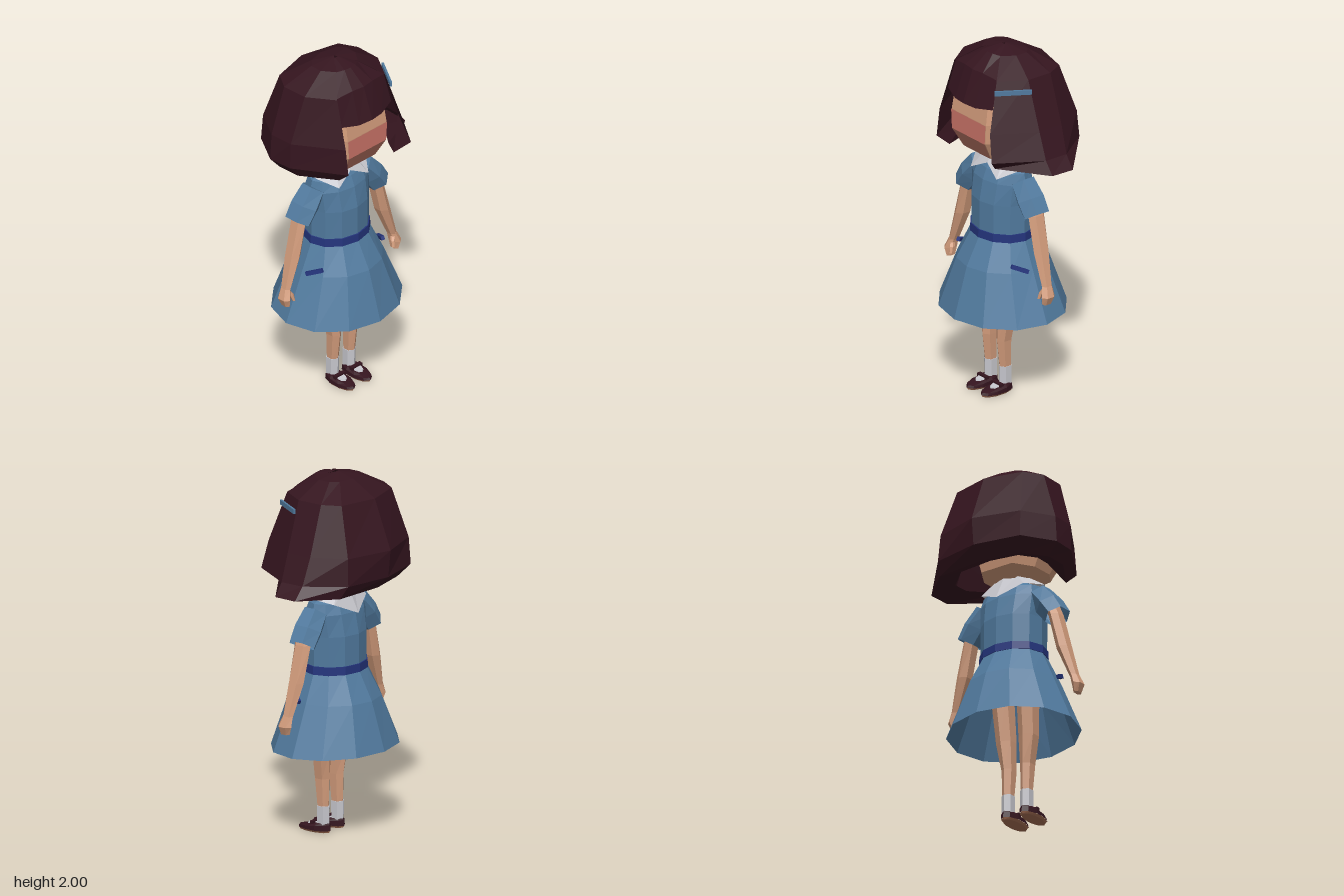
import * as THREE from 'three';

const SKIN = 0xd09a7a, HAIR = 0x35151f, DRESS = 0x517a9e, NAVY = 0x24347c, WHITE = 0xc6c6cc, SOLE = 0xa87055;

const material = (color, open) => new THREE.MeshStandardMaterial({
  color, flatShading: true, side: open ? THREE.DoubleSide : THREE.FrontSide,
});

// Horizontal oval ring, starting at the front and running towards +x; tx and tz tilt it.
function oval(cx, y, cz, rx, rz, n = 6, tx = 0, tz = 0) {
  return Array.from({ length: n }, (_, i) => {
    const a = (i / n) * Math.PI * 2;
    const dx = Math.sin(a) * rx, dz = Math.cos(a) * rz;
    return [cx + dx, y + tx * dx + tz * dz, cz + dz];
  });
}

// Faceted skin over rings listed from bottom to top.
function loft(name, color, rings, { closed = true, bottom = false, top = false, open = false } = {}) {
  const pos = [];
  const n = rings[0].length, cols = closed ? n : n - 1;
  for (let i = 0; i < rings.length - 1; i++) {
    for (let j = 0; j < cols; j++) {
      const k = (j + 1) % n;
      const a = rings[i][j], b = rings[i][k], c = rings[i + 1][k], d = rings[i + 1][j];
      pos.push(...a, ...b, ...c, ...a, ...c, ...d);
    }
  }
  const cap = (ring, flip) => {
    const mid = [0, 1, 2].map((q) => ring.reduce((s, p) => s + p[q], 0) / n);
    for (let j = 0; j < cols; j++) {
      const p = ring[j], q = ring[(j + 1) % n];
      pos.push(...(flip ? q : p), ...(flip ? p : q), ...mid);
    }
  };
  if (bottom) cap(rings[0], true);
  if (top) cap(rings[rings.length - 1], false);
  const g = new THREE.BufferGeometry();
  g.setAttribute('position', new THREE.Float32BufferAttribute(pos, 3));
  g.computeVertexNormals();
  const mesh = new THREE.Mesh(g, material(color, open));
  mesh.name = name;
  return mesh;
}

function box(name, color, size, at) {
  const m = new THREE.Mesh(new THREE.BoxGeometry(...size), material(color));
  m.name = name;
  m.position.set(...at);
  return m;
}

function makeHead() {
  const head = new THREE.Group();
  head.name = 'head';
  // broad flat face, narrower at the back
  const outline = [[-.68, 1], [.68, 1], [1, .5], [1, -.3], [.6, -1], [-.6, -1], [-1, -.3], [-1, .5]];
  const ring = (y, rx, cz, rz) => outline.map(([x, z]) => [x * rx, y, cz + z * rz]);
  const rows = [
    ring(1.355, .09, .03, .08), ring(1.41, .17, .03, .16), ring(1.52, .205, .05, .2),
    ring(1.63, .215, .05, .2), ring(1.76, .205, .04, .19), ring(1.9, .12, .01, .13),
  ];
  head.add(loft('skull', SKIN, rows, { bottom: true, top: true }));
  // blushed front of the face
  const front = (r) => r.slice(0, 2).map(([x, y, z]) => [x, y, z + .004]);
  head.add(loft('lowerFace', 0xbd7867, [front(rows[1]), front(rows[2])], { closed: false }));
  head.add(loft('cheeks', 0xcc7469, [front(rows[2]), front(rows[3])], { closed: false }));
  head.add(loft('neck', SKIN, [oval(0, 1.27, .01, .065, .06, 8), oval(0, 1.42, .01, .065, .06, 8)]));
  return head;
}

function makeHair() {
  const hair = new THREE.Group();
  hair.name = 'hair';
  // bob, as [x, z] columns from one front edge around the back to the other
  const rows = [
    [1.975, [-.08, .1, -.13, .03, -.13, -.04, -.09, -.08, 0, -.1, .09, -.08, .13, -.04, .13, .03, .08, .1]],
    [1.89, [-.18, .205, -.28, .06, -.285, -.09, -.22, -.19, 0, -.245, .22, -.19, .27, -.09, .27, .06, .18, .205]],
    [1.62, [-.2, .29, -.365, .04, -.37, -.1, -.265, -.27, 0, -.35, .27, -.27, .365, -.09, .365, .06, .23, .29]],
    [1.47, [-.2, .31, -.37, .04, -.38, -.1, -.27, -.28, 0, -.335, .28, -.28, .42, -.08, .42, .06, .27, .31]],
    [1.4, [-.19, .23, -.315, .04, -.32, -.09, -.23, -.22, 0, -.265, .3, -.24, .48, -.075, .475, .06, .21, .24]],
  ].map(([y, p]) => Array.from({ length: 9 }, (_, i) => [p[2 * i], y, p[2 * i + 1]]));
  const crown = rows[0].map(() => [0, 2, 0]);
  const tuck = rows[4].map(([x, , z], i) => (i % 8 ? [x * .7, 1.43, z * .7] : [x, 1.44, z - .04]));
  hair.add(loft('bob', HAIR, [crown, ...rows, tuck], { closed: false, open: true }));

  // fringe fanning forward from the crown
  const fringeRow = (pts) => [...pts.map(([x, y, z]) => [-x, y, z]).reverse(), ...pts.slice(1)];
  hair.add(loft('fringe', HAIR, [
    fringeRow([[0, 1.725, .29], [.085, 1.72, .275], [.19, 1.735, .24]]),
    fringeRow([[0, 1.905, .225], [.075, 1.905, .215], [.18, 1.89, .195]]),
    fringeRow([[0, 1.98, .125], [.04, 1.98, .12], [.08, 1.972, .095]]),
    fringeRow([[0, 2, .02], [.01, 2, .02], [.02, 1.998, .02]]),
  ], { closed: false, open: true }));

  const clip = box('hairClip', DRESS, [.012, .026, .2], [.25, 1.833, .148]);
  clip.rotation.y = Math.atan2(-.105, .17);
  hair.add(clip);
  return hair;
}

function makeDress() {
  const dress = new THREE.Group();
  dress.name = 'dress';
  const ring = (y, rx, rz, tz = 0) => oval(0, y, .02, rx, rz, 12, 0, tz);
  dress.add(loft('skirt', DRESS, [ring(.485, .38, .33, -.03), ring(.76, .26, .245), ring(.92, .188, .158)], { open: true }));
  dress.add(loft('bodice', DRESS, [
    ring(.92, .188, .158), ring(1.12, .19, .158), ring(1.24, .2, .135), ring(1.3, .185, .11), ring(1.345, .1, .075),
  ], { top: true }));
  dress.add(loft('belt', NAVY, [ring(.91, .197, .167), ring(.955, .194, .165)], { bottom: true, top: true }));

  // pointed collar
  const half = [[0, 1.33, .125], [.11, 1.275, .15], [.185, 1.325, .05], [.14, 1.3, -.08], [0, 1.235, -.135]];
  const outer = [...half, ...half.slice(1, 4).reverse().map(([x, y, z]) => [-x, y, z])];
  dress.add(loft('collar', WHITE, [outer, oval(0, 1.378, .01, .1, .075, 8)], { open: true }));

  for (const s of [-1, 1]) {
    dress.add(loft('sleeve', DRESS, [
      oval(s * .293, 1.095, .02, .06, .082, 6, s * .6),
      oval(s * .24, 1.17, .02, .066, .085, 6, s * .6),
      oval(s * .17, 1.25, .02, .06, .07, 6, s * .7),
    ], { top: true, open: true }));
    // pocket trim on the skirt's side
    const trim = box('pocketTrim', NAVY, [.02, .022, .1], [s * .247, .785, .1]);
    trim.rotation.set(-.45, s * -.42, 0);
    dress.add(trim);
  }
  return dress;
}

function makeArm(s) {
  const arm = new THREE.Group();
  arm.name = s > 0 ? 'leftArm' : 'rightArm';
  arm.add(loft('forearm', SKIN, [
    oval(s * .397, .72, .035, .024, .032), oval(s * .335, .9, .025, .04, .048),
    oval(s * .285, 1.1, .02, .036, .052), oval(s * .24, 1.2, .02, .04, .05),
  ], { top: true }));
  arm.add(loft('hand', SKIN, [
    oval(s * .408, .625, .045, .017, .03), oval(s * .415, .67, .042, .03, .043), oval(s * .397, .725, .035, .024, .032),
  ], { bottom: true, top: true }));
  arm.add(loft('thumb', SKIN, [
    oval(s * .373, .65, .07, .009, .012, 5), oval(s * .38, .685, .06, .013, .016, 5), oval(s * .395, .715, .045, .01, .012, 5),
  ], { bottom: true }));
  return arm;
}

function makeLeg(s) {
  const leg = new THREE.Group();
  leg.name = s > 0 ? 'leftLeg' : 'rightLeg';
  const x = s * .062;
  leg.add(loft('shin', SKIN, [
    oval(x, .12, .052, .03, .034), oval(x, .3, .06, .038, .047),
    oval(s * .075, .46, .053, .056, .054), oval(s * .085, .75, .03, .062, .065),
  ], { top: true }));
  leg.add(loft('sock', WHITE, [oval(x, .03, .052, .034, .038), oval(x, .148, .052, .035, .039)], { top: true }));
  // strapped shoe
  leg.add(loft('sole', SOLE, [oval(x, 0, .11, .04, .095, 10), oval(x, .012, .11, .05, .102, 10)], { bottom: true }));
  leg.add(loft('shoe', HAIR, [
    oval(x, .012, .11, .051, .104, 10), oval(x, .034, .108, .05, .098, 10, 0, -.1), oval(x, .046, .098, .036, .08, 10, 0, -.2),
  ], { top: true }));
  leg.add(loft('instep', WHITE, [oval(x, .035, .115, .03, .04, 8, 0, -.2), oval(x, .05, .115, .024, .035, 8, 0, -.2)], { top: true }));
  leg.add(box('strap', HAIR, [.076, .022, .022], [x, .049, .103]));
  return leg;
}

export function createModel() {
  const model = new THREE.Group();
  model.name = 'girl';
  model.add(makeHead(), makeHair(), makeDress());
  for (const s of [-1, 1]) model.add(makeArm(s), makeLeg(s));
  // one flared side of the bob sticks out, so the body sits slightly off centre
  model.position.x = -.02;
  const root = new THREE.Group();
  root.add(model);
  return root;
}
